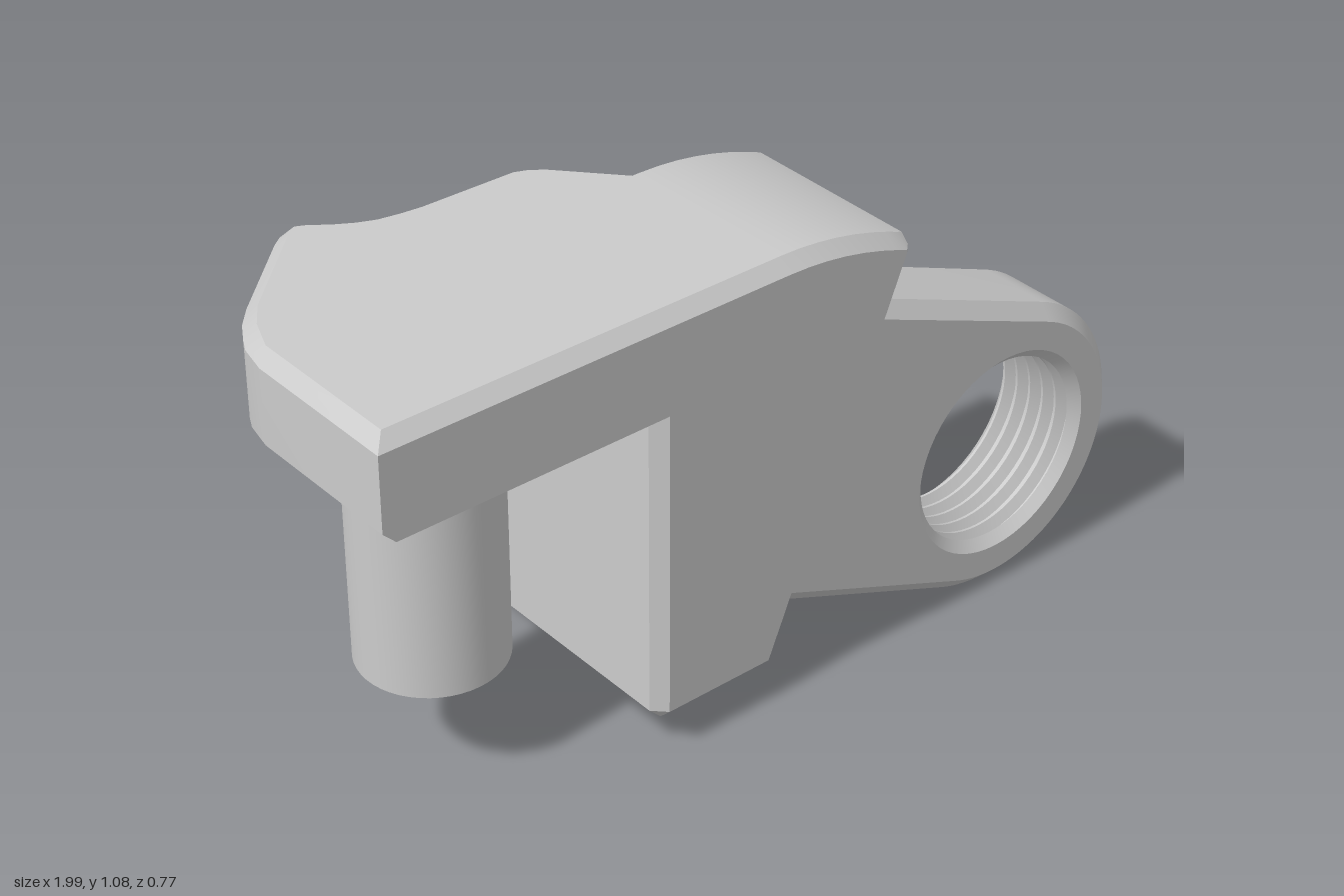
import * as THREE from 'three';
import { toCreasedNormals } from 'three/addons/utils/BufferGeometryUtils.js';

const material = new THREE.MeshStandardMaterial({ color: 0xcccccc });
const FRONT = 0.385, CHAMFER = 0.03;

// Plan outline of the back edge: x, z, chamfer inset in z
const BACK = [
  [-1, 0.0, 0], [-0.985, -0.07, 0.05], [-0.97, -0.1, 0.08], [-0.94, -0.15, 0.055], [-0.9, -0.195, 0.043],
  [-0.72, -0.365, 0.043], [-0.695, -0.384, 0.036], [-0.675, -0.39, 0.032], [-0.655, -0.384, 0.036],
  [-0.61, -0.352, 0.037], [-0.57, -0.326, 0.035], [-0.53, -0.307, 0.033], [-0.48, -0.294, 0.03],
  [-0.43, -0.288, 0.03], [-0.2, -0.284, 0.03], [-0.17, -0.278, 0.036], [-0.14, -0.262, 0.043],
  [-0.02, -0.115, 0.03], [0.36, -0.115, 0.03],
];

function backAt(x) {
  const i = Math.max(1, BACK.findIndex((p) => p[0] >= x));
  const a = BACK[i - 1], b = BACK[i];
  const t = (x - a[0]) / (b[0] - a[0]);
  return [a[1] + (b[1] - a[1]) * t, a[2] + (b[2] - a[2]) * t];
}

// Chamfered rectangular section at one x
function section({ x, yb, yt, zf = FRONT, top = CHAMFER, fy = 0, fz = 0, rear = 0 }) {
  const [zb, inset] = backAt(x);
  const topInset = top ? inset : 0, rearInset = rear ? inset : 0;
  return [
    [zf, yb + fy], [zf - fz, yb], [zb + rearInset, yb], [zb, yb + rear],
    [zb, yt - top], [zb + topInset, yt], [zf - top, yt], [zf, yt - top],
  ].map(([z, y]) => [x, y, z]);
}

// Skin consecutive sections and close both ends
function loft(sections) {
  const pos = [];
  const tri = (a, b, c) => pos.push(...a, ...b, ...c);
  const n = sections[0].length;
  for (let i = 0; i < sections.length - 1; i++) {
    const s = sections[i], t = sections[i + 1];
    for (let j = 0; j < n; j++) {
      const k = (j + 1) % n;
      tri(s[j], s[k], t[k]);
      tri(s[j], t[k], t[j]);
    }
  }
  const first = sections[0], last = sections[sections.length - 1];
  for (let j = 1; j < n - 1; j++) {
    tri(first[0], first[j + 1], first[j]);
    tri(last[0], last[j], last[j + 1]);
  }
  const g = new THREE.BufferGeometry();
  g.setAttribute('position', new THREE.Float32BufferAttribute(pos, 3));
  return toCreasedNormals(g, 0.42);
}

function add(group, name, geometry, mat = material) {
  const mesh = new THREE.Mesh(geometry, mat);
  mesh.name = name;
  group.add(mesh);
  return mesh;
}

// Overhanging plate with a contoured back edge
function plateGeometry() {
  const xs = BACK.map((p) => p[0]).filter((x) => x < -0.4).concat(-0.31);
  return loft(xs.map((x) => {
    const c = Math.min(CHAMFER, x + 1);
    return section({ x, yb: 0.855 + CHAMFER - c, yt: 1.09 - CHAMFER + c, top: c, rear: c });
  }));
}

// Wedge-shaped block: upright left wall, sloping right wall, crowned top
function blockGeometry() {
  const slope = (x) => 0.12 + x * 2.457;
  const crown = (x) => (x < 0 ? 1.09 : 1.09 - 0.62 * x * x);
  const rows = [{ x: -0.34, yb: 0.115, yt: 1.06, zf: 0.355, top: 0 }];
  for (const x of [-0.31, -0.2, -0.17, -0.14, -0.05])
    rows.push({ x, yb: 0.085, yt: 1.09, fy: 0.03, fz: 0.03, rear: 0.03 });
  rows.push({ x: -0.035, yb: 0.095, yt: 1.09, fy: 0.02, fz: 0.03, rear: 0.02 });
  rows.push({ x: -0.02, yb: 0.106, yt: 1.09, fy: 0.046, fz: 0.03, rear: 0.01 });
  for (const x of [0, 0.05, 0.1, 0.15, 0.2, 0.25, 0.29, 0.321])
    rows.push({ x, yb: slope(x), yt: crown(x), fy: 0.08, fz: 0.033 });
  rows.push({ x: 0.335, yb: slope(0.335), yt: 1.02, zf: 0.372, fy: 0.04, fz: 0.02, top: 0.02 });
  rows.push({ x: 0.352, yb: 0.983, yt: 0.986, zf: 0.355, top: 0 });
  return loft(rows.map(section));
}

// Tilted lug with rounded end, chamfered all round
const LUG = { x: 0.645, y: 0.355, r: 0.35, back: 0.14, bore: 0.25 };

function lugGeometry() {
  const tilt = -0.386, reach = 0.6, bevel = 0.033;
  const s = new THREE.Shape();
  s.moveTo(-reach, -LUG.r);
  s.lineTo(0, -LUG.r);
  s.absarc(0, 0, LUG.r, -Math.PI / 2, Math.PI / 2, false);
  s.lineTo(-reach, LUG.r);
  s.closePath();
  s.holes.push(new THREE.Path().absarc(0, 0, LUG.bore + 0.003, 0, Math.PI * 2, true));
  const g = new THREE.ExtrudeGeometry(s, {
    depth: FRONT - LUG.back - 2 * bevel, bevelEnabled: true, bevelSegments: 1,
    bevelSize: bevel, bevelThickness: bevel, bevelOffset: -bevel, curveSegments: 28,
  });
  g.rotateZ(tilt).translate(LUG.x, LUG.y, LUG.back + bevel);
  return toCreasedNormals(g, 0.42);
}

// Ridged bore lining, with a flat rim at each face
function threadGeometry() {
  const half = (FRONT - LUG.back) / 2, turns = 5, lead = 0.022;
  const minor = 0.226, major = LUG.bore;
  const pts = [[0.288, -half], [major, -half], [minor, -half + lead]];
  const pitch = (2 * half - 2 * lead) / turns;
  for (let i = 0; i < turns; i++) {
    const y = -half + lead + i * pitch;
    pts.push([minor, y + pitch * 0.15], [major, y + pitch * 0.5], [major, y + pitch * 0.6], [minor, y + pitch]);
  }
  pts.push([major, half], [0.288, half]);
  const g = new THREE.LatheGeometry(pts.map((p) => new THREE.Vector2(...p)), 56);
  g.rotateX(Math.PI / 2).translate(LUG.x, LUG.y, LUG.back + half);
  return toCreasedNormals(g, 0.42);
}

// Round pin with a flared collar under the plate
function pinGeometry() {
  const pts = [[0, 0.27], [0.166, 0.27], [0.166, 0.82], [0.203, 0.858], [0, 0.858]];
  const g = new THREE.LatheGeometry(pts.map((p) => new THREE.Vector2(...p)), 48);
  g.translate(-0.677, 0, 0.058);
  return toCreasedNormals(g, 0.42);
}

export function createModel() {
  const model = new THREE.Group();
  model.name = 'bracket';
  add(model, 'topPlate', plateGeometry());
  add(model, 'wedgeBlock', blockGeometry());
  add(model, 'lug', lugGeometry());
  const lining = material.clone();
  lining.side = THREE.DoubleSide;
  add(model, 'threadedBore', threadGeometry(), lining);
  add(model, 'pin', pinGeometry());
  return model;
}
